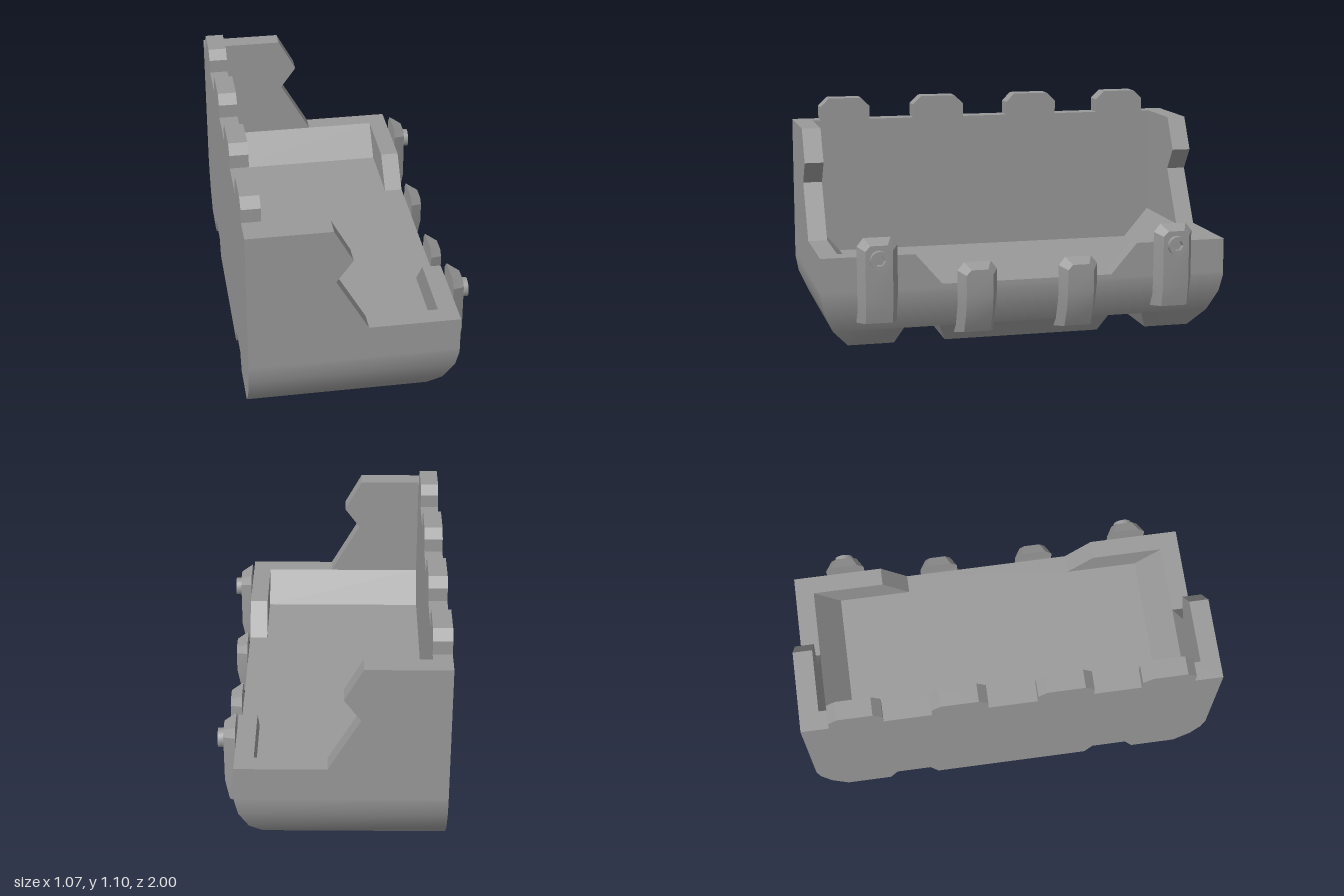
import * as THREE from 'three';
import { mergeGeometries, toCreasedNormals } from 'three/addons/utils/BufferGeometryUtils.js';

const XB = -0.538, XI = -0.448, XF = 0.36, XO = 0.45; // back, inner back, inner front, outer front
const ZI = 0.907;                 // inner face of the end walls
const SEAM = 0.29, FLOOR = 0.305; // top of the hull, floor level
const XS = 0.507;                 // outer face of the straps

// Joins rings of four corners into a solid
function loft(rings, capEnd = true) {
  const p = [];
  const tri = (a, b, c) => p.push(...a, ...b, ...c);
  for (let r = 0; r < rings.length - 1; r++) {
    const a = rings[r], b = rings[r + 1];
    for (let i = 0; i < 4; i++) {
      const j = (i + 1) % 4;
      tri(a[i], a[j], b[j]);
      tri(a[i], b[j], b[i]);
    }
  }
  const s = rings[0], e = rings[rings.length - 1];
  tri(s[0], s[3], s[2]); tri(s[0], s[2], s[1]);
  if (capEnd) { tri(e[0], e[1], e[2]); tri(e[0], e[2], e[3]); }
  const g = new THREE.BufferGeometry();
  g.setAttribute('position', new THREE.Float32BufferAttribute(p, 3));
  return g;
}

const toShape = pts => new THREE.Shape(pts.map(([x, y]) => new THREE.Vector2(x, y)));
const extrude = (shape, depth) =>
  new THREE.ExtrudeGeometry(shape, { depth, bevelEnabled: false });
// Extrudes a (z, y) outline from x0 to x1
const alongX = (pts, x0, x1) =>
  extrude(toShape(pts.map(([z, y]) => [-z, y])), x1 - x0).rotateY(Math.PI / 2).translate(x0, 0, 0);

// Rounded underside with two cross grooves
function hull() {
  const G = 0.086; // groove height
  const level = (y, z0, z1, x) => [[XB, y, z1], [x, y, z1], [x, y, z0], [XB, y, z0]];
  const foot = (a0, a1, b0, b1) => loft([level(0, a0, a1, 0.33), level(G, b0, b1, 0.39)], false);
  return toCreasedNormals(mergeGeometries([
    loft([level(G, -0.938, 0.938, 0.39), level(0.19, -0.985, 0.985, 0.435),
      level(0.27, -1, 1, XO), level(SEAM, -1, 1, XO)], false),
    foot(-0.386, 0.386, -0.425, 0.425),
    foot(0.636, 0.86, 0.597, 0.938),
    foot(-0.86, -0.636, -0.938, -0.597),
  ]), 0.5);
}

// Tall back wall with four chamfered battlements
function backWall() {
  const pts = [[-1, SEAM], [-1, 0.99]];
  for (const [c, half] of [[-0.738, 0.127], [-0.25, 0.133], [0.25, 0.133], [0.738, 0.127]]) {
    pts.push([c - half, 0.99], [c - half, 1.057], [c - half + 0.044, 1.1],
      [c + half - 0.044, 1.1], [c + half, 1.057], [c + half, 0.99]);
  }
  pts.push([1, 0.99], [1, SEAM]);
  return alongX(pts, XB, XI);
}

// Low front wall with a dropped middle
const frontWall = () => alongX([[-1, SEAM], [-1, 0.455], [-0.55, 0.455], [-0.42, FLOOR],
  [0.42, FLOOR], [0.55, 0.455], [1, 0.455], [1, SEAM]], XF, XO);

// Notched end wall
const endWall = s => extrude(toShape([[XI, SEAM], [XF, SEAM], [XF, 0.455], [0.02, 0.455],
  [-0.132, 0.722], [-0.054, 0.83], [-0.142, 0.99], [XI, 0.99]]), 1 - ZI)
  .translate(0, 0, s > 0 ? ZI : -1);

// Sloped fillet between floor and end wall
const endSlope = s =>
  alongX([[s * ZI, FLOOR], [s * 0.78, FLOOR], [s * ZI, 0.455]], XI, XF);

// Chamfered strap: each row is base x, y, half width, then outer x, y, half width
function strap(rows) {
  return toCreasedNormals(loft(rows.map(([bx, by, bw, ox, oy, ow]) =>
    [[bx, by, bw], [ox, oy, ow], [ox, oy, -ow], [bx, by, -bw]])), 0.3);
}

// Round bolt head with a hexagonal socket
function bolt() {
  const ring = (r, n) => Array.from({ length: n }, (_, i) => {
    const a = i / n * Math.PI * 2;
    return [Math.cos(a) * r, Math.sin(a) * r];
  });
  const shape = toShape(ring(0.046, 16));
  shape.holes.push(toShape(ring(0.026, 6)));
  return toCreasedNormals(extrude(shape, 0.036).rotateY(Math.PI / 2), 0.6);
}

export function createModel() {
  const group = new THREE.Group();
  group.name = 'openBin';
  const grey = new THREE.MeshStandardMaterial({ color: 0x999999 });
  grey.name = 'grey';
  const add = (name, geometry, x = 0, y = 0, z = 0) => {
    const mesh = new THREE.Mesh(geometry, grey);
    mesh.name = name;
    mesh.position.set(x, y, z);
    group.add(mesh);
  };

  add('hull', hull());
  add('floor', new THREE.PlaneGeometry(XF - XI, 1.56).rotateX(-Math.PI / 2), (XF + XI) / 2, FLOOR);
  add('backWall', backWall());
  add('frontWall', frontWall());

  const top = y => [
    [XO, y - 0.04, 0.097, XS, y - 0.055, 0.065],
    [XO, y, 0.065, XS, y - 0.03, 0.04],
  ];
  const bend = [
    [0.43, 0.19, 0.097, 0.49, 0.155, 0.065],
    [XO, 0.27, 0.097, XS, 0.25, 0.065],
  ];
  const tall = strap([[0.41, 0.13, 0.097, 0.487, 0.14, 0.065], ...bend, ...top(0.545)]);
  const low = strap([[0.36, 0.042, 0.097, 0.445, 0.06, 0.065], ...bend, ...top(0.405)]);

  for (const s of [1, -1]) {
    const side = s > 0 ? 'front' : 'rear';
    add(side + 'EndWall', endWall(s));
    add(side + 'EndSlope', endSlope(s));
    add(side + 'TallStrap', tall, 0, 0, s * 0.732);
    add(side + 'LowStrap', low, 0, 0, s * 0.25);
    add(side + 'Bolt', bolt(), 0.5, 0.447, s * 0.732);
  }
  return group;
}
